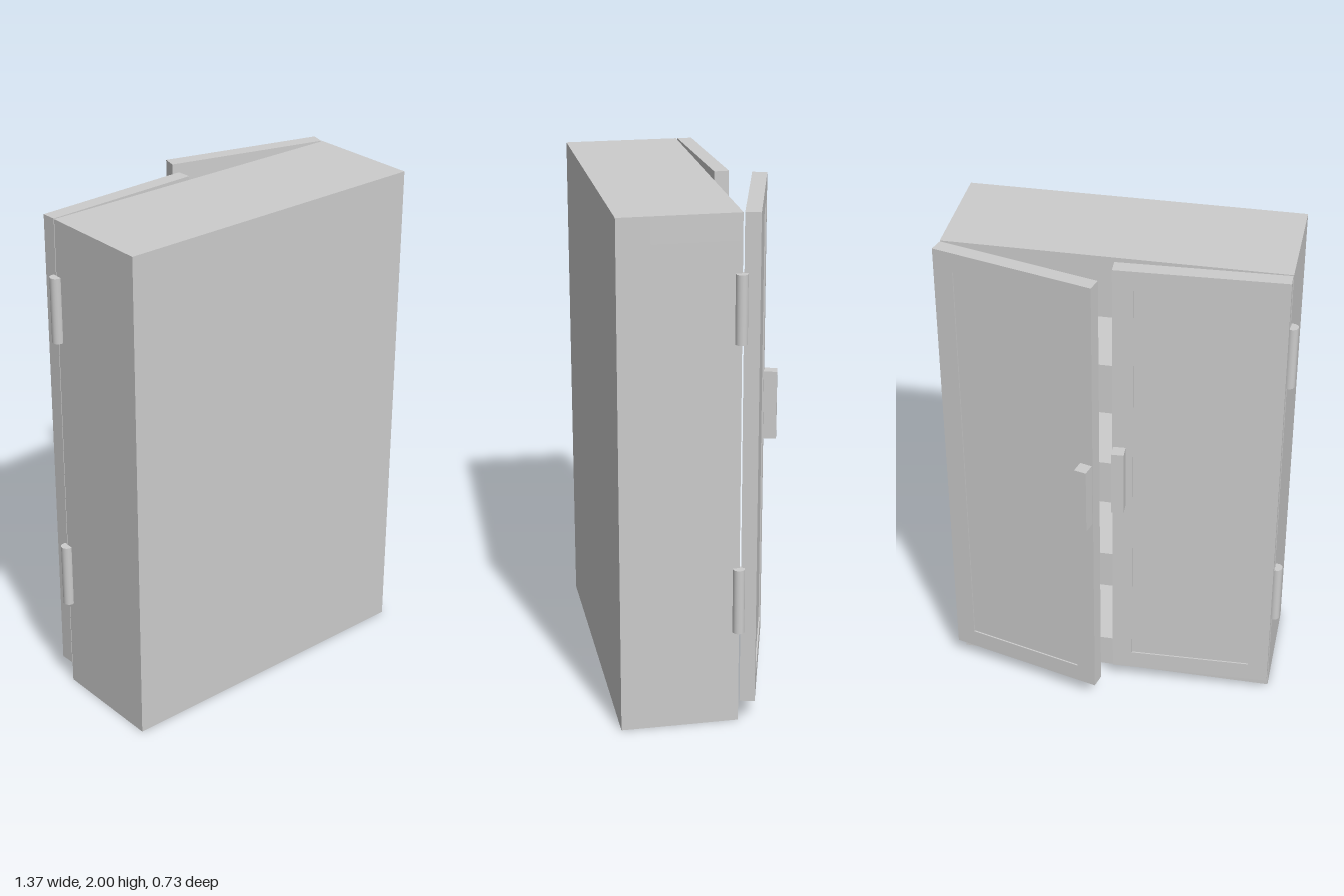
import * as THREE from 'three';

const grey = new THREE.MeshStandardMaterial({ color: 0xcccccc });
grey.name = 'grey';

function mesh(geometry, name, parent) {
  const m = new THREE.Mesh(geometry, grey);
  m.name = name;
  parent.add(m);
  return m;
}

// Box given by its minimum and maximum corners
function box(name, parent, x0, x1, y0, y1, z0, z1) {
  const m = mesh(new THREE.BoxGeometry(x1 - x0, y1 - y0, z1 - z0), name, parent);
  m.position.set((x0 + x1) / 2, (y0 + y1) / 2, (z0 + z1) / 2);
  return m;
}

function rectangle(path, x0, x1, y0, y1) {
  path.moveTo(x0, y0);
  path.lineTo(x1, y0);
  path.lineTo(x1, y1);
  path.lineTo(x0, y1);
  path.closePath();
  return path;
}

// Door hung on its inner corner; dir is the way it reaches from the hinge
function door(name, dir, angle) {
  const W = 0.648, Y0 = 0.08, Y1 = 2, T = 0.058, recess = 0.006, margin = 0.08;
  const g = new THREE.Group();
  g.name = name;
  const xa = Math.min(0, dir * W), xb = Math.max(0, dir * W);
  box('doorPanel', g, xa, xb, Y0, Y1, -T + recess, 0);

  // Raised rim around the sunken panel
  const rim = rectangle(new THREE.Shape(), xa, xb, Y0, Y1);
  rim.holes.push(rectangle(new THREE.Path(), xa + margin, xb - margin, Y0 + margin, Y1 - margin));
  const rimGeometry = new THREE.ExtrudeGeometry(rim, { depth: recess, bevelEnabled: false });
  mesh(rimGeometry, 'doorRim', g).position.z = -T;

  // Handle at the free edge
  const h0 = dir * (W - 0.052), h1 = dir * (W - 0.003);
  box('handle', g, Math.min(h0, h1), Math.max(h0, h1), 0.935, 1.215, -T - 0.052, -T);

  g.position.set(-dir * 0.653, 0, -0.096);
  g.rotation.y = dir * THREE.MathUtils.degToRad(angle);
  return g;
}

export function createModel() {
  const model = new THREE.Group();
  model.name = 'cabinet';
  const X = 0.655, ZB = -0.09, ZF = 0.365, wall = 0.1;

  // Carcass
  const carcass = new THREE.Group();
  carcass.name = 'carcass';
  model.add(carcass);
  box('backWall', carcass, -X, X, 0, 2, 0.24, ZF);
  box('top', carcass, -X, X, 2 - wall, 2, ZB, 0.24);
  box('base', carcass, -X, X, 0, 0.06, ZB, 0.24);
  for (const s of [-1, 1]) {
    const a = s * X, b = s * (X - wall);
    box('sideWall', carcass, Math.min(a, b), Math.max(a, b), 0.06, 2 - wall, ZB, 0.24);
  }

  // Floor and three shelves, slightly proud of the carcass
  for (let i = 0; i < 4; i++) {
    const y = 0.15 + i * 0.46;
    box('shelf', model, -0.63, 0.63, y - 0.1, y, -0.095, 0.25);
  }

  // Doors standing ajar
  model.add(door('rightDoor', 1, 2.2), door('leftDoor', -1, 14.8));

  // Hinge barrels
  for (const s of [-1, 1]) {
    for (const y of [0.51, 1.65]) {
      const barrel = mesh(new THREE.CylinderGeometry(0.023, 0.023, 0.26, 16), 'hinge', model);
      barrel.position.set(s * 0.662, y, -0.086);
    }
  }
  return model;
}
